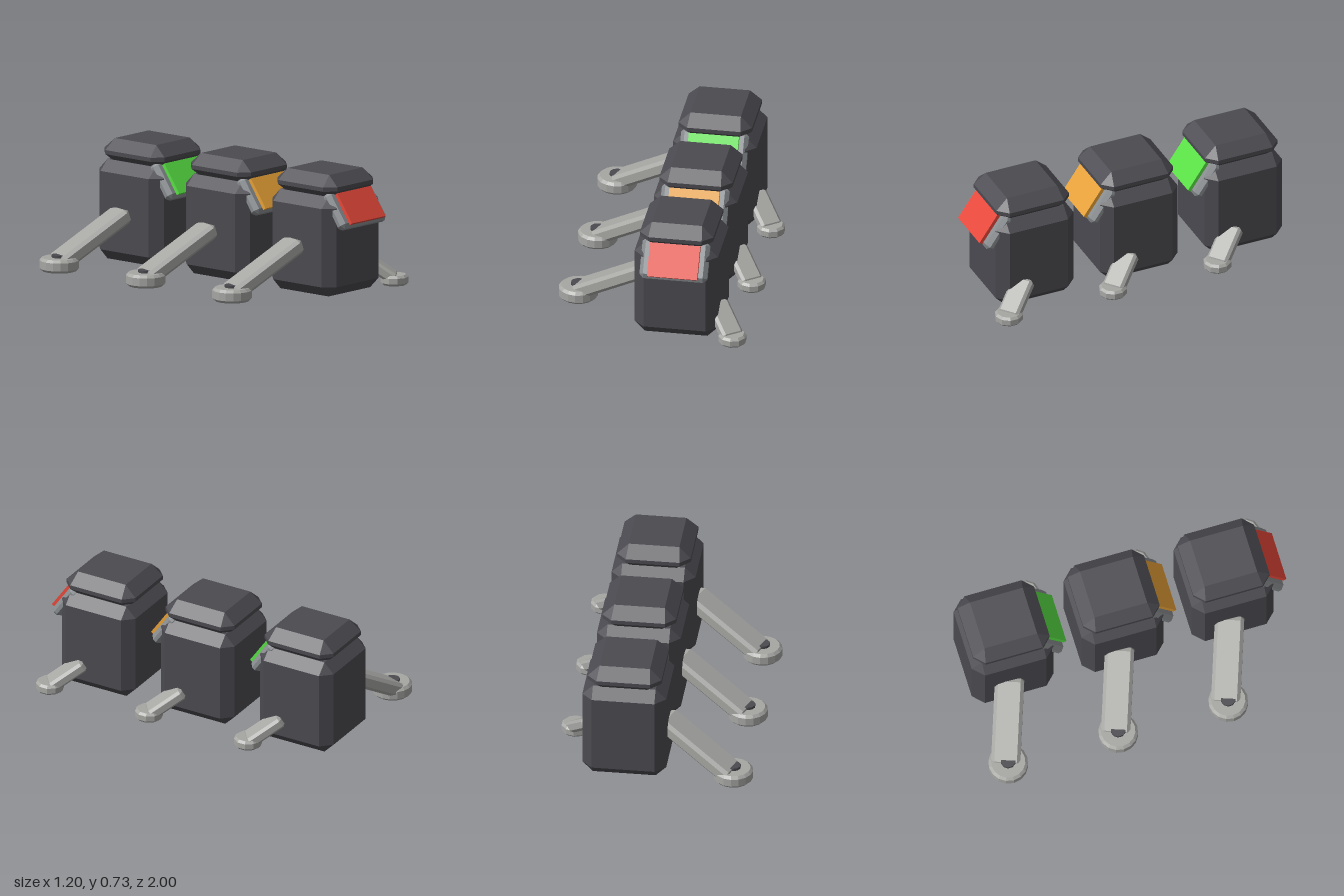
import * as THREE from 'three';
import { ConvexGeometry } from 'three/addons/geometries/ConvexGeometry.js';

const mat = (name, color) => {
  const m = new THREE.MeshStandardMaterial({ color });
  m.name = name;
  return m;
};
const dark = mat('dark casing', 0x4b4a50);
const grey = mat('light grey', 0xa6a6a3);
const frameGrey = mat('frame grey', 0x888c8f);
const signals = [mat('red', 0xe8483a), mat('amber', 0xe8a238), mat('green', 0x58e044)];

// Box with every edge and corner cut by c
function chamferBox(w, h, d, c) {
  const pts = [], x = w / 2, y = h / 2, z = d / 2;
  for (const i of [-1, 1]) for (const j of [-1, 1]) for (const k of [-1, 1]) {
    pts.push(new THREE.Vector3(i * x, j * (y - c), k * (z - c)));
    pts.push(new THREE.Vector3(i * (x - c), j * y, k * (z - c)));
    pts.push(new THREE.Vector3(i * (x - c), j * (y - c), k * z));
  }
  return new ConvexGeometry(pts);
}

// Hull of stacked octagons: [y, halfX, halfZ, cornerCut]
function stack(levels) {
  const pts = [];
  for (const [y, x, z, c] of levels) for (const i of [-1, 1]) for (const k of [-1, 1]) {
    pts.push(new THREE.Vector3(i * x, y, k * (z - c)));
    if (c > 0) pts.push(new THREE.Vector3(i * (x - c), y, k * z));
  }
  return new ConvexGeometry(pts);
}

// Flat-sided disc with bevelled rims
function disc(r, h, sides, bevel) {
  const profile = [[0, 0], [r - bevel, 0], [r, bevel], [r, h - bevel], [r - bevel, h], [0, h]];
  const g = new THREE.LatheGeometry(profile.map(p => new THREE.Vector2(...p)), sides).toNonIndexed();
  g.computeVertexNormals();
  return g;
}

function add(parent, name, geometry, material, x = 0, y = 0, z = 0) {
  const m = new THREE.Mesh(geometry, material);
  m.name = name;
  m.position.set(x, y, z);
  parent.add(m);
  return m;
}

// Chamfered beam whose top centre line runs from a to b
function beam(parent, name, a, b, width, thick, c) {
  const start = new THREE.Vector3(...a), end = new THREE.Vector3(...b);
  const d = end.clone().sub(start), length = d.length();
  d.normalize();
  const w = d.clone().cross(new THREE.Vector3(0, 1, 0)).normalize();
  const n = w.clone().cross(d);
  const m = add(parent, name, chamferBox(length, thick, width, c), grey);
  m.quaternion.setFromRotationMatrix(new THREE.Matrix4().makeBasis(d, n, w));
  m.position.copy(start).add(end).multiplyScalar(0.5).addScaledVector(n, -thick / 2);
}

function createUnit(signal) {
  const unit = new THREE.Group();
  const cx = 0.168;

  // Casing and lid
  add(unit, 'body', chamferBox(0.505, 0.605, 0.51, 0.064), dark, cx, 0.3025, 0);
  add(unit, 'lid', stack([
    [0.605, 0.185, 0.2, 0.045], [0.64, 0.222, 0.238, 0.06],
    [0.665, 0.222, 0.238, 0.06], [0.73, 0.152, 0.164, 0],
  ]), dark, cx, 0, 0);

  // Tilted display
  const display = new THREE.Group();
  display.name = 'display';
  display.position.set(cx, 0.52, 0.233);
  display.rotation.x = -THREE.MathUtils.degToRad(35);
  add(display, 'displayFrame', chamferBox(0.41, 0.246, 0.07, 0.024), frameGrey);
  add(display, 'displayPanel', new THREE.BoxGeometry(0.304, 0.205, 0.022), signal, 0, -0.012, 0.046);
  unit.add(display);

  // Long right leg with round foot and pin
  beam(unit, 'rightLeg', [-0.505, 0.08, -0.19], [-0.076, 0.346, -0.036], 0.175, 0.09, 0.02);
  add(unit, 'rightFoot', disc(0.119, 0.08, 16, 0.016), grey, -0.485, 0, -0.167);
  add(unit, 'rightFootPin', new THREE.CylinderGeometry(0.045, 0.045, 0.04, 10), dark, -0.485, 0.076, -0.167);

  // Short left leg with small foot
  beam(unit, 'leftLeg', [0.533, 0.062, 0.262], [0.405, 0.202, 0.1], 0.135, 0.07, 0.016);
  add(unit, 'leftFoot', disc(0.085, 0.062, 10, 0.014), grey, 0.517, 0, 0.243);
  return unit;
}

export function createModel() {
  const model = new THREE.Group();
  model.name = 'signalUnits';
  ['frontUnit', 'middleUnit', 'rearUnit'].forEach((name, i) => {
    const unit = createUnit(signals[i]);
    unit.name = name;
    unit.position.z = 0.655 - i * 0.685;
    model.add(unit);
  });
  return model;
}
